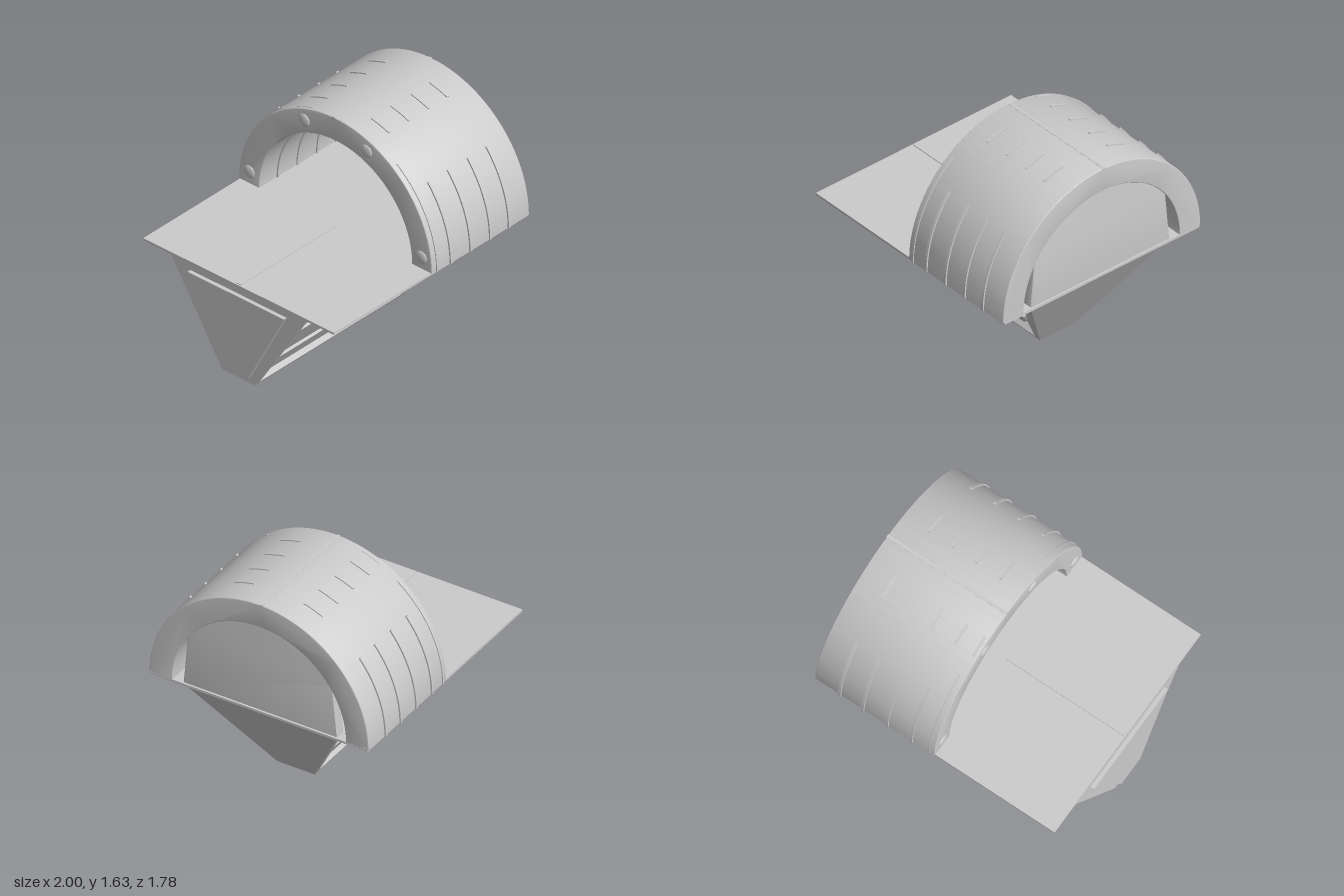
import * as THREE from 'three';
import { toCreasedNormals } from 'three/addons/utils/BufferGeometryUtils.js';

const grey = new THREE.MeshStandardMaterial({ color: 0xcccccc });
const BASE = 0.745; // height of the deck, also the centre of the arch

function add(group, name, geometry) {
  const mesh = new THREE.Mesh(geometry, grey);
  mesh.name = name;
  group.add(mesh);
  return mesh;
}

function box(group, name, x0, x1, y0, y1, z0, z1) {
  const mesh = add(group, name, new THREE.BoxGeometry(x1 - x0, y1 - y0, z1 - z0));
  mesh.position.set((x0 + x1) / 2, (y0 + y1) / 2, (z0 + z1) / 2);
}

// Collects flat quads into one geometry
function quadGeometry(quads) {
  const pos = [];
  for (const [a, b, c, d] of quads) pos.push(...a, ...b, ...c, ...a, ...c, ...d);
  const geo = new THREE.BufferGeometry();
  geo.setAttribute('position', new THREE.Float32BufferAttribute(pos, 3));
  geo.computeVertexNormals();
  return geo;
}

const mirror = ([x, y, z]) => [x, y, -z];
const mirrorQuad = (q) => q.map(mirror).reverse();
// Point on the sloping hull side, sunk inward by depth
const sidePoint = (x, y, depth) => [x, y, 0.15 + 0.637 * y - depth];
// Loop on the hull side: bottom left, bottom right, top right, top left
const sideLoop = (x0, xBottom, xTop, y0, y1, depth) => [
  sidePoint(x0, y0, depth), sidePoint(xBottom, y0, depth),
  sidePoint(xTop, y1, depth), sidePoint(x0, y1, depth)];

// Quads joining nested loops, closed by the last one
function loftLoops(loops) {
  const quads = [];
  for (let k = 0; k + 1 < loops.length; k++) {
    const a = loops[k], b = loops[k + 1];
    for (let i = 0; i < 4; i++) {
      const j = (i + 1) % 4;
      quads.push([a[i], a[j], b[j], b[i]]);
    }
  }
  quads.push(loops[loops.length - 1]);
  return quads;
}

// Turns a shape drawn in (-z, y) into a solid running along x
function extrudeX(shape, x0, x1, bevel = 0) {
  const geo = new THREE.ExtrudeGeometry(shape, {
    depth: x1 - x0 - 2 * bevel, curveSegments: 64, bevelEnabled: bevel > 0,
    bevelSize: bevel, bevelThickness: bevel, bevelOffset: -bevel, bevelSegments: 3 });
  geo.rotateY(Math.PI / 2);
  geo.translate(x0 + bevel, BASE, 0);
  return toCreasedNormals(geo, 0.5);
}

// Band around the arch axis; angles in degrees up from the front (+z)
function band(r0, r1, from, to, x0, x1, bevel) {
  const a = Math.PI - THREE.MathUtils.degToRad(to);
  const b = Math.PI - THREE.MathUtils.degToRad(from);
  const shape = new THREE.Shape();
  shape.absarc(0, 0, r1, a, b, false);
  shape.absarc(0, 0, r0, b, a, true);
  shape.closePath();
  return extrudeX(shape, x0, x1, bevel);
}

function buildHull() {
  const hull = new THREE.Group();
  hull.name = 'hull';
  const outer = sideLoop(-0.97, 0.53, 0.98, 0, 0.735, 0);
  const side = loftLoops([
    outer,
    sideLoop(-0.94, 0.49, 0.915, 0.025, 0.72, 0),
    sideLoop(-0.89, 0.38, 0.78, 0.07, 0.69, 0.06)]);
  const [bl, br, tr, tl] = outer;
  add(hull, 'hullShell', quadGeometry([
    ...side, ...side.map(mirrorQuad),
    [mirror(bl), bl, tl, mirror(tl)],
    [br, mirror(br), mirror(tr), tr],
    [bl, mirror(bl), mirror(br), br]]));

  // Two raised planks in each side recess
  const edge = (y) => 0.38 + (y - 0.07) * 0.645;
  for (const [y0, y1] of [[0.085, 0.22], [0.38, 0.52]]) {
    const plank = loftLoops([
      sideLoop(-0.9, edge(y0), edge(y1), y0, y1, 0.06),
      sideLoop(-0.9, edge(y0), edge(y1), y0 + 0.004, y1 - 0.008, 0.035)]);
    add(hull, 'leftPlank', quadGeometry(plank));
    add(hull, 'rightPlank', quadGeometry(plank.map(mirrorQuad)));
  }

  // Raised trapezoid panel on the end
  const panel = new THREE.Shape([[-0.11, 0.05], [0.11, 0.05], [0.44, 0.68], [-0.44, 0.68]]
    .map(([z, y]) => new THREE.Vector2(z, y - BASE)));
  add(hull, 'endPanel', extrudeX(panel, -1, -0.96));
  return hull;
}

function buildArch() {
  const arch = new THREE.Group();
  arch.name = 'arch';
  add(arch, 'archShell', band(0.695, 0.88, 0, 180, 0.012, 1, 0.008));

  // Straps: long ones up both flanks, short ones beside the crown
  for (const x of [0.2, 0.4, 0.6, 0.79]) {
    add(arch, 'frontStrap', band(0.86, 0.892, 0, 40, x - 0.01, x + 0.01));
    add(arch, 'backStrap', band(0.86, 0.892, 140, 180, x - 0.01, x + 0.01));
    add(arch, 'frontCrownStrap', band(0.86, 0.888, 68, 79, x - 0.015, x + 0.005));
    add(arch, 'backCrownStrap', band(0.86, 0.888, 105, 115.5, x - 0.015, x + 0.005));
    add(arch, 'innerRib', band(0.685, 0.71, 0, 180, x - 0.01, x + 0.01));
  }
  add(arch, 'frontEdgeStrap', band(0.86, 0.887, 0, 54, 0.055, 0.066));
  add(arch, 'backEdgeStrap', band(0.86, 0.887, 126, 180, 0.055, 0.066));
  add(arch, 'backEdgeCrownStrap', band(0.86, 0.883, 105, 115.5, 0.035, 0.055));
  add(arch, 'crownSeam', band(0.86, 0.882, 90.5, 92, 0.012, 1));

  // Domed bolts on the open end
  for (const degrees of [7, 69, 111, 173]) {
    const a = THREE.MathUtils.degToRad(degrees);
    const bolt = add(arch, 'bolt', new THREE.SphereGeometry(0.05, 24, 8, 0, Math.PI * 2, 0, Math.PI / 2));
    bolt.scale.y = 0.3;
    bolt.rotation.z = Math.PI / 2;
    bolt.position.set(0.013, BASE + 0.79 * Math.sin(a), 0.79 * Math.cos(a));
  }

  // Rounded wall closing the far end, leaving a narrow slit at each foot
  const wall = new THREE.Shape();
  const a = THREE.MathUtils.degToRad(35);
  wall.moveTo(-0.62, -0.01);
  wall.lineTo(0.62, -0.01);
  wall.lineTo(0.71 * Math.cos(a), 0.71 * Math.sin(a));
  wall.absarc(0, 0, 0.71, a, Math.PI - a, false);
  wall.closePath();
  add(arch, 'endWall', extrudeX(wall, 0.9, 0.985, 0.015));
  return arch;
}

export function createModel() {
  const model = new THREE.Group();
  model.name = 'model';
  model.add(buildHull());
  box(model, 'deck', -0.97, 1, 0.73, 0.748, -0.87, 0.87);
  box(model, 'deckStrip', -0.96, 0.02, 0.74, 0.754, -0.03, 0.01);
  model.add(buildArch());
  return model;
}
